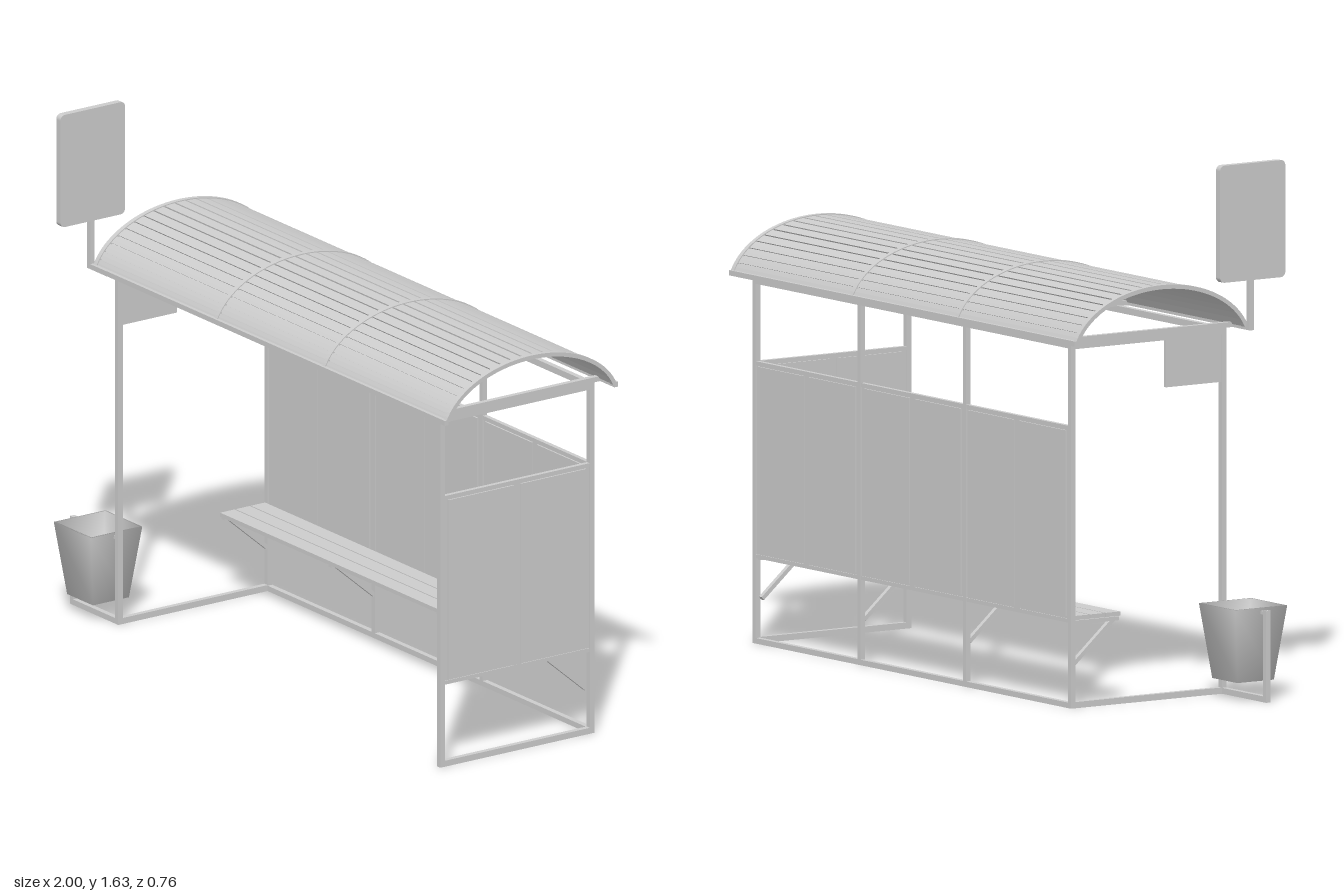
import * as THREE from 'three';

export function createModel() {
  const root = new THREE.Group();
  root.name = 'busShelter';
  const grey = new THREE.MeshStandardMaterial({ color: 0xcccccc });
  grey.name = 'paintedMetalGrey';

  const add = (name, geometry, parent = root) => {
    const mesh = new THREE.Mesh(geometry, grey);
    mesh.name = name;
    parent.add(mesh);
    return mesh;
  };
  // Box given by its low and high limits on each axis
  const box = (name, [x0, x1], [y0, y1], [z0, z1], parent) => {
    const mesh = add(name, new THREE.BoxGeometry(x1 - x0, y1 - y0, z1 - z0), parent);
    mesh.position.set((x0 + x1) / 2, (y0 + y1) / 2, (z0 + z1) / 2);
    return mesh;
  };
  const around = (c, w = 0.017) => [c - w / 2, c + w / 2];
  // Extrude a side-on outline (drawn in -z, y) along x
  const extrudeX = (name, shape, x0, x1) => {
    const mesh = add(name, new THREE.ExtrudeGeometry(shape, { depth: x1 - x0, bevelEnabled: false, curveSegments: 6 }));
    mesh.rotation.y = Math.PI / 2;
    mesh.position.x = x0;
    return mesh;
  };

  const bays = [-0.757, -0.2, 0.36, 0.917];
  const left = bays[3], right = bays[0];
  const zFront = 0.222, zBack = -0.334;

  // Posts
  bays.forEach((x) => box('backPost', around(x), [0, 1.12], around(zBack)));
  [right, left].forEach((x) => box('frontPost', around(x), [0, 1.12], around(zFront)));

  // Base and top rails
  [right, left].forEach((x) => {
    box('baseSideRail', around(x), [0, 0.019], [zBack, zFront]);
    box('topSideRail', around(x), [1.098, 1.125], [zBack, zFront]);
  });
  box('baseBackRail', [right, left], [0, 0.017], around(zBack));
  [zFront, zBack].forEach((z) => box('topLongRail', [right, left], [1.1, 1.12], around(z)));

  // Back wall: rails, mullions and two panels in each bay
  [0.267, 0.857].forEach((y) => {
    box('backWallRail', [right, left], around(y, 0.012), around(zBack, 0.014));
    box('sideWallRail', around(left, 0.014), around(y, 0.012), [zBack, zFront]);
  });
  for (let i = 0; i < 3; i++) {
    const a = bays[i], b = bays[i + 1], mid = (a + b) / 2;
    box('backMullion', around(mid, 0.025), [0.267, 0.857], around(zBack, 0.013));
    box('backPanel', [a + 0.02, mid - 0.0125], [0.28, 0.848], around(zBack, 0.018));
    box('backPanel', [mid + 0.0125, b - 0.02], [0.28, 0.848], around(zBack, 0.018));
    box('backWallSheet', [a, b], [0.267, 0.857], around(zBack, 0.008));
  }

  // Side wall on the left end
  const zMid = (zFront + zBack) / 2;
  box('sideMullion', around(left, 0.013), [0.267, 0.857], around(zMid, 0.025));
  box('sidePanel', around(left, 0.018), [0.275, 0.848], [zBack + 0.022, zMid - 0.0125]);
  box('sidePanel', around(left, 0.018), [0.275, 0.848], [zMid + 0.0125, zFront - 0.022]);
  box('sideWallSheet', around(left, 0.008), [0.267, 0.857], [zBack, zFront]);

  // Small hanging plate on the right end
  box('hangingPlate', around(right, 0.01), [0.953, 1.1], [0.01, zFront]);

  // Bench: three slats, bearers and diagonal braces
  for (let i = 0; i < 3; i++) {
    const z = -0.322 + i * 0.057;
    box('benchSlat', [-0.757, 0.908], [0.268, 0.281], [z, z + 0.053]);
  }
  bays.forEach((x) => {
    const bx = x === left ? 0.9 : x;
    box('benchBearer', around(bx, 0.015), [0.256, 0.268], [zBack, -0.165]);
    const brace = box('benchBrace', around(bx, 0.015), around(0.2, 0.013), around(-0.255, 0.19));
    brace.rotation.x = -Math.atan2(0.122, 0.142);
  });

  // Roof curve: a shallow ellipse, offset outward by off
  const roofPoint = (s, off) => {
    const t = THREE.MathUtils.degToRad(165 - 150 * s);
    return new THREE.Vector2(0.055 + (0.326 + off) * Math.cos(t), 1.078 + (0.2 + off) * Math.sin(t));
  };
  // Ribbed roof sheet
  const bands = 21, outer = [], inner = [];
  for (let i = 0; i < bands; i++) {
    [[0, -0.001], [0.42, -0.001], [0.84, -0.001], [0.84, -0.006], [1, -0.006]].forEach(([f, off]) =>
      outer.push(roofPoint((i + f) / bands, off)));
    inner.push(roofPoint(i / bands, -0.009));
  }
  inner.push(roofPoint(1, -0.009));
  extrudeX('roofSheet', new THREE.Shape([...outer, ...inner.reverse()]), -0.832, 0.997);

  // Roof arches and their cross ties
  const arch = [];
  for (let i = 0; i <= 40; i++) arch.push(roofPoint(i / 40, 0.002));
  for (let i = 40; i >= 0; i--) arch.push(roofPoint(i / 40, -0.011));
  [-0.827, -0.2, 0.36, 0.992].forEach((x) =>
    extrudeX('roofArch', new THREE.Shape(arch), x - 0.008, x + 0.008));
  bays.forEach((x) => box('roofTie', around(x), [1.118, 1.134], [-0.37, 0.262]));
  [0.261, -0.371].forEach((z) => box('roofEdgeRail', [-0.835, 1], [1.118, 1.134], around(z, 0.014)));

  // Sign on a bent pole
  box('signArm', [-0.856, right], [1.118, 1.134], around(0.261, 0.016));
  box('signPole', around(-0.848, 0.016), [1.118, 1.29], around(0.261, 0.016));
  const sign = new THREE.Shape(), r = 0.016, u0 = -0.382, u1 = -0.142, v0 = 1.272, v1 = 1.63;
  sign.absarc(u1 - r, v0 + r, r, -Math.PI / 2, 0);
  sign.absarc(u1 - r, v1 - r, r, 0, Math.PI / 2);
  sign.absarc(u0 + r, v1 - r, r, Math.PI / 2, Math.PI);
  sign.absarc(u0 + r, v0 + r, r, Math.PI, Math.PI * 1.5);
  extrudeX('signBoard', sign, -0.859, -0.837);

  // Litter bin: open tapered square tub hung between two posts
  const d = Math.SQRT2;
  const profile = [[0, 0.058], [0.067, 0.058], [0.096, 0.286], [0.09, 0.286], [0.062, 0.066], [0, 0.066]]
    .map(([w, y]) => new THREE.Vector2(w * d, y));
  const bin = add('litterBin', new THREE.LatheGeometry(profile, 4));
  bin.rotation.y = Math.PI / 4;
  bin.position.set(-0.871, 0, 0.218);
  box('binFoot', [-1, right], [0, 0.018], around(zFront));
  box('binPost', [-1, -0.984], [0, 0.28], around(zFront));
  box('binPin', [-0.99, -0.962], around(0.272, 0.01), around(zFront, 0.01));
  box('binPin', [-0.778, right], around(0.272, 0.01), around(zFront, 0.01));

  return root;
}
